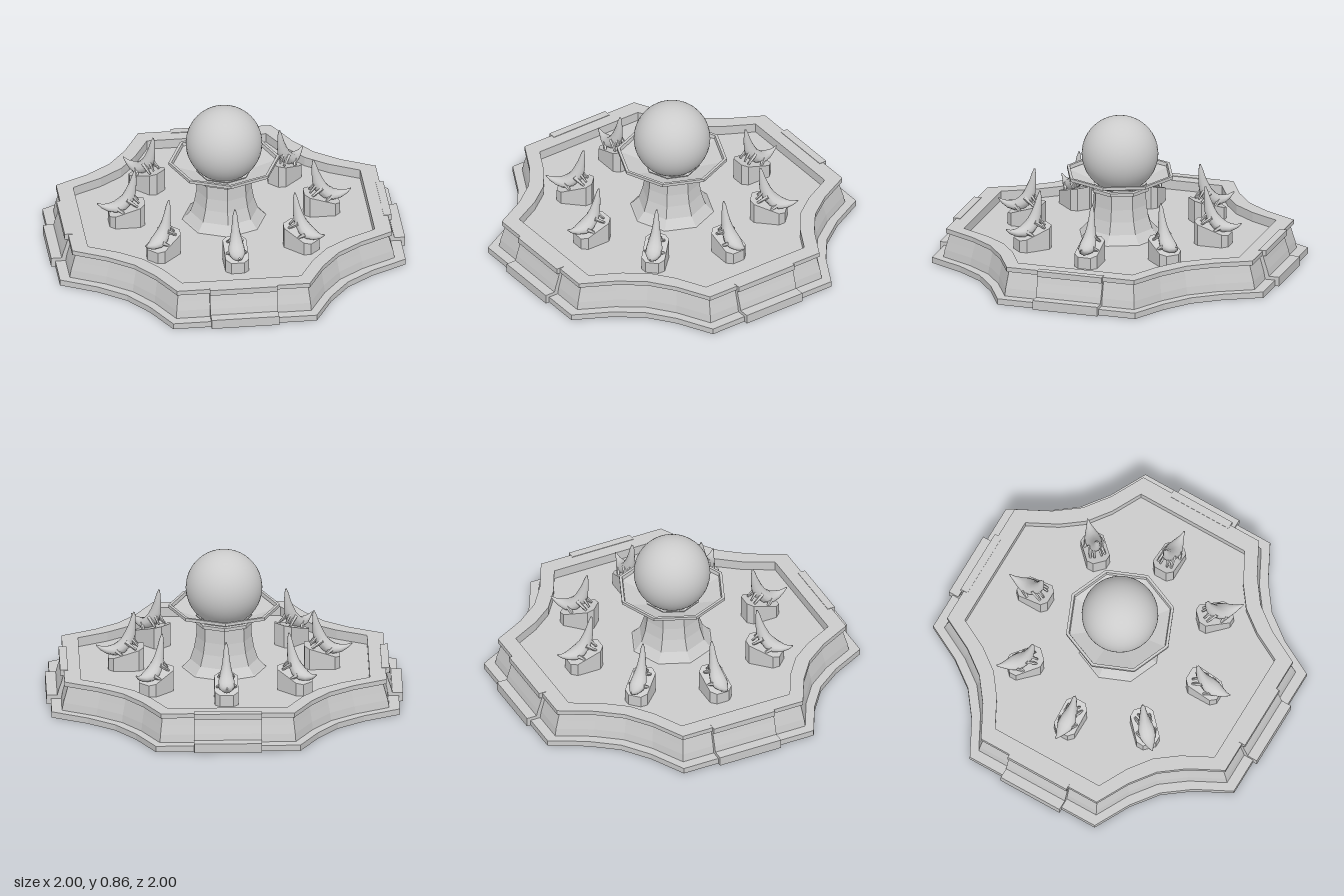
import * as THREE from 'three';

const flat = new THREE.MeshStandardMaterial({ color: 0xcccccc, flatShading: true, side: THREE.DoubleSide });
const smooth = new THREE.MeshStandardMaterial({ color: 0xcccccc });

function add(parent, name, geometry, material = flat) {
  const mesh = new THREE.Mesh(geometry, material);
  mesh.name = name;
  parent.add(mesh);
  return mesh;
}

// Skin a list of closed rings of [x, y, z] points
function loft(rings) {
  const n = rings[0].length, index = [];
  for (let i = 0; i < rings.length - 1; i++) {
    for (let j = 0; j < n; j++) {
      const k = (j + 1) % n, a = i * n + j, b = a + n, c = (i + 1) * n + k, d = i * n + k;
      index.push(a, d, c, a, c, b);
    }
  }
  const g = new THREE.BufferGeometry();
  g.setAttribute('position', new THREE.Float32BufferAttribute(rings.flat(2), 3));
  g.setIndex(index);
  g.computeVertexNormals();
  return g;
}

// Basin outline: four bowed-in sides joined by straight diagonals
function outline() {
  const side = [[-0.413, 1], [-0.19, 0.93], [0, 0.903], [0.19, 0.93], [0.413, 1]];
  const pts = [];
  for (let q = 0; q < 4; q++) {
    const c = Math.round(Math.cos(q * Math.PI / 2)), s = Math.round(Math.sin(q * Math.PI / 2));
    for (const [x, z] of side) pts.push([x * c + z * s, z * c - x * s]);
  }
  return pts;
}

function makeBasin() {
  const basin = new THREE.Group();
  basin.name = 'basin';
  const plan = outline();

  // wall profile: [scale of the outline, height]
  const profile = [[0.85, 0], [1, 0], [1, 0.035], [0.94, 0.035], [0.932, 0.08], [0.918, 0.13],
    [0.905, 0.178], [0.925, 0.178], [0.925, 0.205], [0.83, 0.205], [0.83, 0.14], [0.85, 0]];
  add(basin, 'basinWall', loft(profile.map(([s, y]) => plan.map(([x, z]) => [x * s, y, z * s]))));

  // water sheet
  const sheet = new THREE.ShapeGeometry(new THREE.Shape(plan.map(([x, z]) => new THREE.Vector2(x * 0.835, -z * 0.835))));
  sheet.rotateX(-Math.PI / 2);
  add(basin, 'waterSurface', sheet).position.y = 0.15;

  // a broad pilaster on each diagonal
  const section = new THREE.Shape([[0.9, 0], [1.023, 0], [1.023, 0.055], [0.962, 0.055], [0.953, 0.09],
    [0.938, 0.135], [0.927, 0.174], [0.945, 0.174], [0.945, 0.208], [0.9, 0.208]]
    .map(p => new THREE.Vector2(...p)));
  const pilaster = new THREE.ExtrudeGeometry(section, { depth: 0.39, bevelEnabled: false });
  pilaster.translate(0, 0, -0.195).rotateY(-Math.PI / 2);
  for (let i = 0; i < 4; i++) {
    add(basin, 'pilaster', pilaster).rotation.y = Math.PI / 4 + i * Math.PI / 2;
  }
  return basin;
}

function makeCentre() {
  const centre = new THREE.Group();
  centre.name = 'centrepiece';
  const lathe = pts => new THREE.LatheGeometry(pts.map(p => new THREE.Vector2(...p)), 8);
  add(centre, 'column', lathe([[0.32, 0.04], [0.32, 0.135], [0.25, 0.145], [0.235, 0.155], [0.195, 0.2],
    [0.172, 0.27], [0.16, 0.34], [0.156, 0.42], [0.173, 0.425], [0.173, 0.445], [0.16, 0.45], [0.16, 0.465]]));
  add(centre, 'bowl', lathe([[0.02, 0.455], [0.17, 0.46], [0.32, 0.512], [0.32, 0.53], [0.303, 0.53], [0.298, 0.51]]));
  add(centre, 'ball', new THREE.SphereGeometry(0.22, 40, 28), smooth).position.y = 0.635;
  return centre;
}

// Plinth with chamfered corners and a top sloping down outward (+z)
function plinthGeometry() {
  const w = 0.068, c = 0.03, a = 0.46, b = 0.665;
  const plan = [[-w + c, b], [w - c, b], [w, b - c], [w, a + c], [w - c, a], [-w + c, a], [-w, a + c], [-w, b - c]];
  const top = z => 0.285 - (z - a) / (b - a) * 0.067;
  return loft([
    plan.map(([x, z]) => [x, 0.06, z]),
    plan.map(([x, z]) => [x, top(z), z]),
    plan.map(() => [0, top(0.56), 0.56]),
  ]);
}

// Sea creature body: snout outward, tail curling upward
function bodyGeometry() {
  // [z, y, half width, half thickness]
  const spine = [[0.735, 0.288, 0.003, 0.003], [0.705, 0.268, 0.013, 0.012], [0.67, 0.257, 0.03, 0.022],
    [0.63, 0.257, 0.046, 0.03], [0.59, 0.275, 0.047, 0.037], [0.557, 0.31, 0.037, 0.038],
    [0.54, 0.355, 0.026, 0.032], [0.527, 0.41, 0.018, 0.021], [0.52, 0.455, 0.013, 0.013], [0.515, 0.49, 0.003, 0.004]];
  return loft(spine.map(([z, y, w, t], i) => {
    const p = spine[Math.max(i - 1, 0)], q = spine[Math.min(i + 1, spine.length - 1)];
    const len = Math.hypot(q[0] - p[0], q[1] - p[1]);
    const tz = (q[0] - p[0]) / len, ty = (q[1] - p[1]) / len;
    return Array.from({ length: 12 }, (_, j) => {
      const a = j / 12 * Math.PI * 2, n = Math.sin(a) * t;
      return [Math.cos(a) * w, y + tz * n, z - ty * n];
    });
  }));
}

// Tapered four-sided fin between two points
function finGeometry(from, to, width) {
  const a = new THREE.Vector3(...from), b = new THREE.Vector3(...to), dir = b.clone().sub(a);
  const g = new THREE.CylinderGeometry(width * 0.5, width, dir.length(), 5);
  g.applyQuaternion(new THREE.Quaternion().setFromUnitVectors(new THREE.Vector3(0, 1, 0), dir.normalize()));
  return g.translate(...a.add(b).multiplyScalar(0.5).toArray());
}

export function createModel() {
  const model = new THREE.Group();
  model.name = 'fountain';
  model.add(makeBasin(), makeCentre());

  const plinth = plinthGeometry(), body = bodyGeometry();
  const fins = [-1, 1].flatMap(s => [
    finGeometry([s * 0.03, 0.315, 0.565], [s * 0.043, 0.272, 0.505], 0.014),
    finGeometry([s * 0.035, 0.265, 0.62], [s * 0.056, 0.24, 0.585], 0.015),
    finGeometry([s * 0.012, 0.34, 0.54], [s * 0.022, 0.285, 0.495], 0.012),
  ]);

  // eight spouts around the centre
  for (let i = 0; i < 8; i++) {
    const spout = new THREE.Group();
    spout.name = 'spout';
    add(spout, 'plinth', plinth);
    add(spout, 'creatureBody', body, smooth);
    fins.forEach(f => add(spout, 'fin', f));
    spout.rotation.y = i * Math.PI / 4;
    model.add(spout);
  }
  return model;
}
